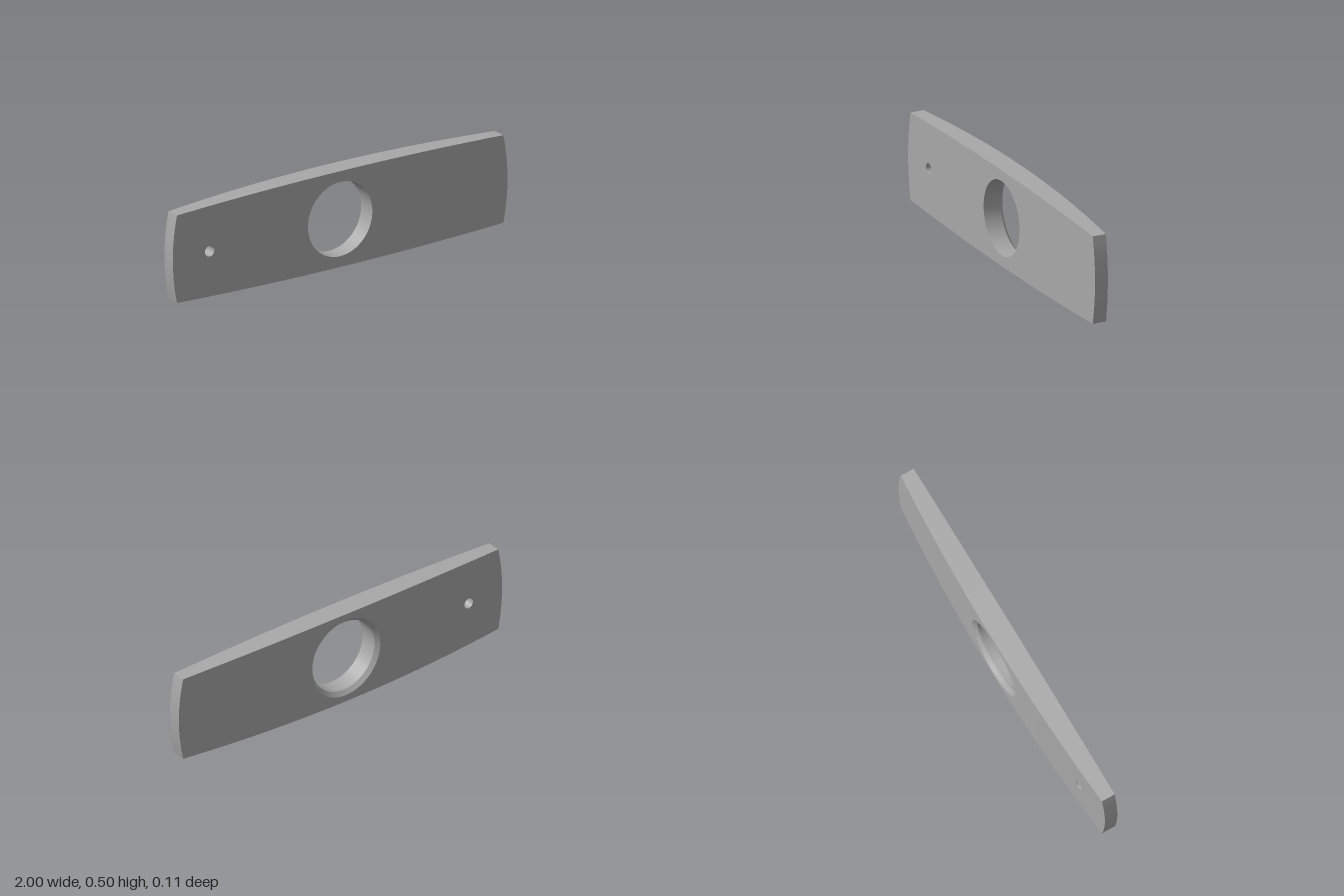
import * as THREE from 'three';
import { toCreasedNormals } from 'three/addons/utils/BufferGeometryUtils.js';

const MID = 0.2485;        // height of the plate's centre line
const FRONT = 0.057;       // flat front plane
const CORNER = 0.975;      // x of the four corners
const HALF = 0.227;        // half height at the corners
const BORE = { x: 0, front: 0.1925, back: 0.213, seg: 64 };
const PIN = { x: -0.78, front: 0.028, back: 0.028, seg: 24 };
const HOLES = [BORE, PIN];

// Gently bowed back, and half height of the bowed outline
const backZ = x => -0.058 + 0.045 * x * x;
const halfHeight = x => {
  const a = Math.abs(x);
  if (a <= CORNER + 1e-9) return MID - (MID - HALF) * (a / CORNER) ** 2;
  return HALF * Math.sqrt(Math.max(0, (1 - a) / (1 - CORNER)));
};

// Columns: even spacing, the end arcs and every hole's rim points
function makeColumns() {
  const xs = [];
  for (let i = 0; i <= 32; i++) xs.push(-CORNER + 2 * CORNER * i / 32);
  for (let k = 0; k < 8; k++) {
    const x = 1 - (1 - CORNER) * (k / 8) ** 2;
    xs.push(x, -x);
  }
  for (const h of HOLES) for (const r of [h.front, h.back]) {
    for (let i = 0; i <= h.seg / 2; i++) xs.push(h.x + r * Math.cos(2 * Math.PI * i / h.seg));
  }
  xs.sort((a, b) => a - b);
  return xs.filter((x, i) => i === 0 || x - xs[i - 1] > 1e-5);
}

// Collects quads and skips collapsed triangles
function surface() {
  const pos = [];
  const tri = (...p) => {
    const [a, b, c] = p.map(q => new THREE.Vector3(...q));
    if (b.sub(a).cross(c.sub(a)).length() > 1e-10) pos.push(...p.flat());
  };
  return {
    quad(a, b, c, d) { tri(a, b, c); tri(a, c, d); },
    mesh(name, material) {
      const g = new THREE.BufferGeometry();
      g.setAttribute('position', new THREE.Float32BufferAttribute(pos, 3));
      const m = new THREE.Mesh(toCreasedNormals(g, 0.4), material);
      m.name = name;
      return m;
    }
  };
}

// Front or back face, column by column, leaving the holes open
function face(xs, side, zAt) {
  const s = surface();
  for (let i = 0; i + 1 < xs.length; i++) {
    const a = xs[i], b = xs[i + 1], m = (a + b) / 2;
    const band = (lo, hi) => {
      const p = [[a, MID + lo(a), zAt(a)], [b, MID + lo(b), zAt(b)],
        [b, MID + hi(b), zAt(b)], [a, MID + hi(a), zAt(a)]];
      if (side === 'back') p.reverse();
      s.quad(...p);
    };
    const low = x => -halfHeight(x);
    const hole = HOLES.find(h => Math.abs(m - h.x) < h[side]);
    if (hole) {
      const rim = x => Math.sqrt(Math.max(0, hole[side] ** 2 - (x - hole.x) ** 2));
      band(low, x => -rim(x));
      band(rim, halfHeight);
    } else band(low, halfHeight);
  }
  return s;
}

// Outer edge all the way round
function edge(xs) {
  const s = surface();
  for (let i = 0; i + 1 < xs.length; i++) {
    const a = xs[i], b = xs[i + 1];
    const yt = x => MID + halfHeight(x), yb = x => MID - halfHeight(x);
    s.quad([a, yt(a), FRONT], [b, yt(b), FRONT], [b, yt(b), backZ(b)], [a, yt(a), backZ(a)]);
    s.quad([a, yb(a), backZ(a)], [b, yb(b), backZ(b)], [b, yb(b), FRONT], [a, yb(a), FRONT]);
  }
  return s;
}

// Inward-facing ring between a front circle and a back circle
function ring(h, rFront, zFront, rBack, zBack) {
  const s = surface();
  const point = (i, r, z) => {
    const t = 2 * Math.PI * i / h.seg, x = h.x + r * Math.cos(t);
    return [x, MID + r * Math.sin(t), z(x)];
  };
  for (let i = 0; i < h.seg; i++) {
    s.quad(point(i, rFront, zFront), point(i + 1, rFront, zFront),
      point(i + 1, rBack, zBack), point(i, rBack, zBack));
  }
  return s;
}

export function createModel() {
  const grey = new THREE.MeshStandardMaterial({ color: 0xa8a8a8 });
  grey.name = 'plain grey';
  const group = new THREE.Group();
  group.name = 'bowedPlate';
  const xs = makeColumns();
  const front = () => FRONT, seat = () => -0.037;

  group.add(
    face(xs, 'front', front).mesh('frontFace', grey),
    face(xs, 'back', backZ).mesh('backFace', grey),
    edge(xs).mesh('outerEdge', grey),
    ring(BORE, BORE.front, front, BORE.front, seat).mesh('centreHole', grey),
    ring(BORE, BORE.front, seat, BORE.back, backZ).mesh('centreHoleChamfer', grey),
    ring(PIN, PIN.front, front, PIN.back, backZ).mesh('smallHole', grey)
  );
  return group;
}
